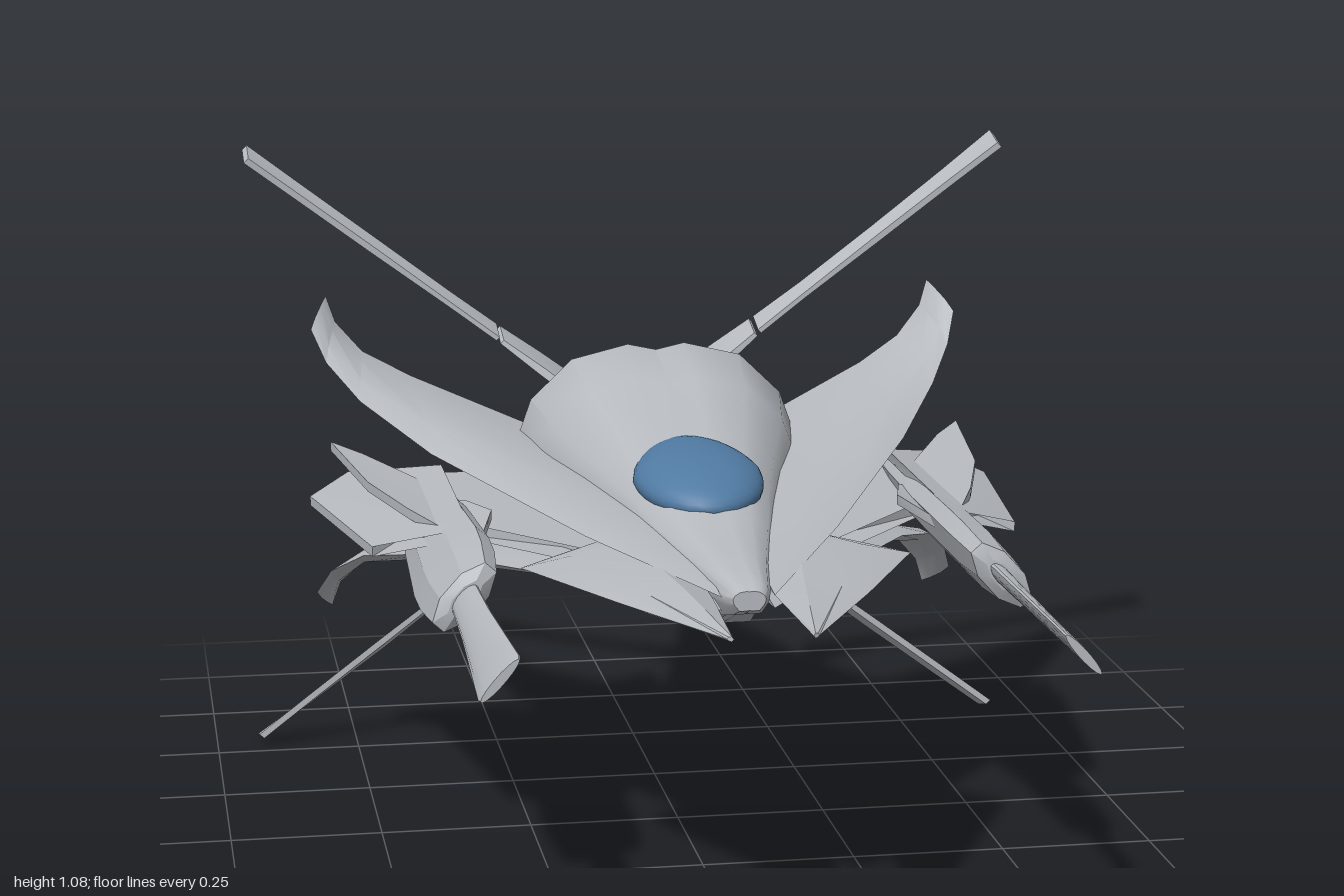
import * as THREE from 'three';
import { toCreasedNormals } from 'three/addons/utils/BufferGeometryUtils.js';

const CY = 0.54; // height of the horizontal symmetry plane

const hull = new THREE.MeshStandardMaterial({ color: 0xb6babf });
hull.name = 'hull grey';
const glass = new THREE.MeshStandardMaterial({ color: 0x507aa2 });
glass.name = 'canopy blue';

// Closed skin through cross-sections with equal point counts, always facing outward
function loft(rings, crease = 0.6) {
  const n = rings[0].length, tris = [];
  for (let r = 0; r < rings.length - 1; r++) {
    for (let i = 0; i < n; i++) {
      const j = (i + 1) % n;
      const a = rings[r][i], b = rings[r][j], c = rings[r + 1][j], d = rings[r + 1][i];
      tris.push([a, b, c], [a, c, d]);
    }
  }
  const first = rings[0], last = rings[rings.length - 1];
  for (let i = 1; i < n - 1; i++) {
    tris.push([first[0], first[i + 1], first[i]], [last[0], last[i], last[i + 1]]);
  }
  let volume = 0;
  const o = new THREE.Vector3(...first[0]);
  for (const t of tris) {
    const [a, b, c] = t.map((p) => new THREE.Vector3(...p).sub(o));
    volume += a.dot(b.cross(c));
  }
  if (volume < 0) tris.forEach((t) => t.reverse());
  const geo = new THREE.BufferGeometry();
  geo.setAttribute('position', new THREE.Float32BufferAttribute(tris.flat(2), 3));
  return toCreasedNormals(geo, crease);
}

// Mirror cross-sections given relative to the symmetry planes
const place = (rings, sx, sy = 1) =>
  rings.map((ring) => ring.map(([x, y, z]) => [x * sx, CY + y * sy, z]));

// Thin plate from an outline of [x, y, z] points
const plate = (outline, t = 0.008) =>
  [-t, t].map((h) => outline.map(([x, y, z]) => [x, y + h, z]));

// Lens section between a leading and a trailing point
function lens(le, te, t) {
  const at = (k, h) => le.map((v, i) => v + (te[i] - v) * k + (i === 1 ? h : 0));
  return [le, at(0.3, t), at(0.7, t * 0.7), te, at(0.7, -t * 0.7), at(0.3, -t)];
}

// Flattened oval section of the gun, its long axis sloping down and outward
function gunSection(z, long, short, n) {
  const tilt = -0.84, c = Math.cos(tilt), s = Math.sin(tilt);
  return Array.from({ length: n }, (_, i) => {
    const a = ((i + 0.5) / n) * Math.PI * 2;
    const u = Math.cos(a) * long, v = Math.sin(a) * short;
    return [0.412 + u * c - v * s, u * s + v * c, z];
  });
}

function fuselageRings() {
  // Half section: x as share of width, y as share of top (+) or bottom (-)
  const half = [[0, 0.95], [0.2, 1], [0.6, 0.89], [0.89, 0.57], [1, 0.22],
    [0.97, -0.15], [0.89, -0.43], [0.6, -1], [0.12, -1], [0, -0.92]];
  const section = half.concat(half.slice(1, -1).reverse().map(([x, y]) => [-x, y]));
  // z, half width, middle, top, bottom
  const stations = [
    [-1, 0.015, 0.545, 0.56, 0.53], [-0.97, 0.025, 0.545, 0.57, 0.525],
    [-0.8, 0.068, 0.55, 0.61, 0.505], [-0.58, 0.118, 0.55, 0.66, 0.475],
    [-0.45, 0.155, 0.555, 0.705, 0.445], [-0.35, 0.2, 0.56, 0.74, 0.39],
    [-0.23, 0.242, 0.56, 0.772, 0.37], [-0.1, 0.218, 0.56, 0.738, 0.375],
    [0.05, 0.17, 0.56, 0.685, 0.39], [0.2, 0.13, 0.56, 0.652, 0.41],
    [0.36, 0.093, 0.555, 0.608, 0.435], [0.5, 0.06, 0.55, 0.585, 0.485],
    [0.63, 0.035, 0.545, 0.57, 0.52], [0.65, 0.025, 0.545, 0.56, 0.53],
  ];
  return stations.map(([z, w, mid, top, bottom]) => section.map(([x, y]) =>
    [x * w, mid + y * (y > 0 ? top - mid : mid - bottom), z]));
}

export function createModel() {
  const model = new THREE.Group();
  model.name = 'starfighter';
  const add = (name, geo, mat = hull) => {
    const mesh = new THREE.Mesh(geo, mat);
    mesh.name = name;
    model.add(mesh);
  };

  add('fuselage', loft(fuselageRings()));

  // Canopy, narrowing to the rear
  const dome = new THREE.SphereGeometry(1, 32, 20);
  const p = dome.attributes.position;
  for (let i = 0; i < p.count; i++) {
    const z = p.getZ(i);
    const taper = z < 0 ? 1 + z * 0.2 : 1;
    p.setXYZ(i, p.getX(i) * 0.104 * taper, 0.63 + p.getY(i) * 0.047 - z * 0.018, 0.19 + z * 0.16);
  }
  dome.computeVertexNormals();
  add('canopy', dome, glass);

  // Swept wing with an upturned tip: leading point, trailing point, thickness
  const wing = [
    lens([0.04, 0.01, 0.64], [0.05, 0.035, -0.3], 0.02),
    lens([0.2, 0.035, 0.33], [0.2, 0.075, -0.33], 0.02),
    lens([0.4, 0.085, -0.08], [0.4, 0.15, -0.43], 0.015),
    lens([0.5, 0.135, -0.29], [0.48, 0.185, -0.49], 0.011),
    lens([0.55, 0.185, -0.39], [0.525, 0.235, -0.51], 0.008),
    lens([0.572, 0.235, -0.44], [0.54, 0.28, -0.52], 0.004),
  ];

  // Twisted diagonal tail blade section: distance out in x, rear z, front z, half thickness
  const bladeSection = ([x, z0, z1, t]) => {
    const y = x * 0.75 + 0.024, rear = y + 0.008, front = y - 0.008;
    return [[x - t, rear + t, z0], [x + t, rear - t, z0],
      [x + t, front - t, z1], [x - t, front + t, z1]];
  };
  const blade = [[0.236, -0.575, -0.525, 0.003], [0.32, -0.562, -0.53, 0.003],
    [0.45, -0.558, -0.53, 0.004], [0.58, -0.568, -0.528, 0.004],
    [0.672, -0.582, -0.523, 0.004]].map(bladeSection);
  const bladeRoot = [[0.11, -0.602, -0.48, 0.005], [0.16, -0.59, -0.502, 0.005],
    [0.229, -0.58, -0.523, 0.003]].map(bladeSection);

  // Flattened gun pod and paddle-like barrel
  const pod = [[-0.3, 0.015, 0.008], [-0.1, 0.045, 0.025], [0.1, 0.065, 0.035],
    [0.35, 0.078, 0.036], [0.44, 0.076, 0.036], [0.54, 0.065, 0.03], [0.55, 0.035, 0.015]]
    .map(([z, long, short]) => gunSection(z, long, short, 8));
  const barrel = [[0.5, 0.026, 0.012], [0.7, 0.03, 0.01], [0.9, 0.039, 0.008],
    [0.985, 0.043, 0.008], [1, 0.04, 0.007]]
    .map(([z, long, short]) => gunSection(z, long, short, 16));

  // Flat fins around the pod, sloping down and outward
  const outerFin = plate([[0.38, 0.05, 0.34], [0.47, 0.012, 0.16], [0.522, -0.008, 0.2],
    [0.59, -0.03, -0.27], [0.52, -0.005, -0.34], [0.38, 0.05, -0.12]]);
  const upperFin = plate([[0.4, 0.03, 0.3], [0.46, 0.04, 0.15], [0.51, 0.047, -0.02],
    [0.55, 0.053, -0.32], [0.5, 0.045, -0.25], [0.4, 0.03, -0.05]]);
  const innerFin = plate([[0.43, 0.005, 0.42], [0.37, 0.03, 0.36], [0.33, 0.04, 0.18],
    [0.36, 0.03, 0.06], [0.43, 0.005, 0]]);
  const strut = plate([[0.05, 0, 0.5], [0.22, 0, 0.2], [0.42, 0, 0.05],
    [0.5, 0, -0.28], [0.12, 0, -0.25]], 0.012);

  // Forward pointing prong, thickest through the middle
  const prong = [
    lens([0.04, 0, 0.3], [0.23, 0, 0.29], 0.026),
    lens([0.045, 0, 0.4], [0.308, 0, 0.375], 0.026),
    lens([0.048, 0, 0.62], [0.19, 0, 0.61], 0.018),
    lens([0.058, 0, 0.84], [0.068, 0, 0.835], 0.004),
  ];

  for (const sx of [1, -1]) {
    const side = sx > 0 ? 'left' : 'right';
    for (const sy of [1, -1]) {
      const name = `${side}${sy > 0 ? 'Upper' : 'Lower'}`;
      add(`${name}Wing`, loft(place(wing, sx, sy)));
      add(`${name}TailBlade`, loft(place(blade, sx, sy)));
      add(`${name}TailBladeRoot`, loft(place(bladeRoot, sx, sy)));
    }
    add(`${side}GunPod`, loft(place(pod, sx), 0.4));
    add(`${side}GunBarrel`, loft(place(barrel, sx)));
    add(`${side}OuterFin`, loft(place(outerFin, sx)));
    add(`${side}UpperFin`, loft(place(upperFin, sx)));
    add(`${side}InnerFin`, loft(place(innerFin, sx)));
    add(`${side}PodStrut`, loft(place(strut, sx)));
    add(`${side}NoseProng`, loft(place(prong, sx), 0.3));
  }
  return model;
}
